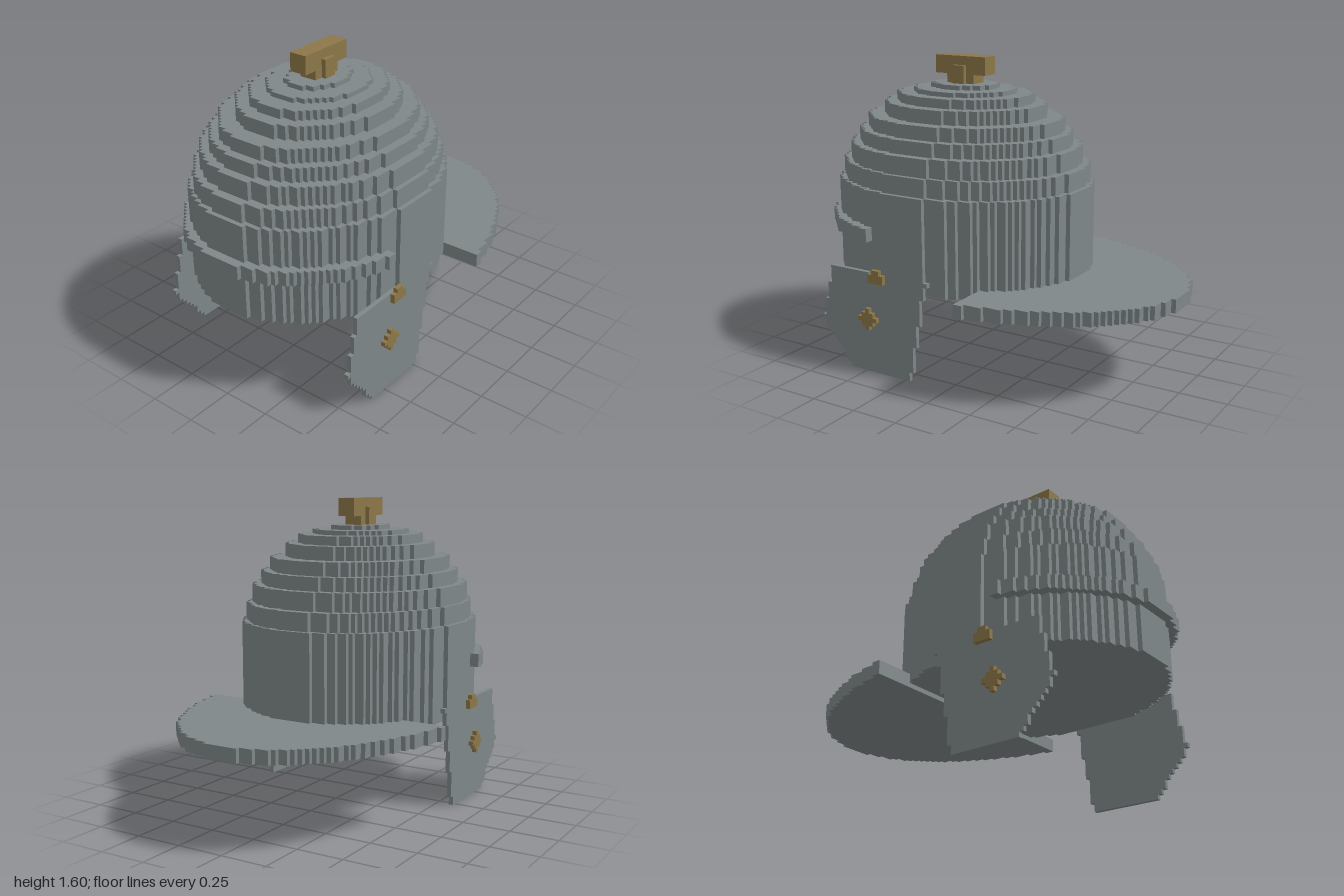
import * as THREE from 'three';

const S = 2 / 85;      // size of one block
const CZ = 53.5;       // dome centre in blocks, counted from the back

const steel = new THREE.MeshStandardMaterial({ color: 0x7f8789 });
steel.name = 'steel grey';
const brass = new THREE.MeshStandardMaterial({ color: 0x8c7748 });
brass.name = 'brass';

// Stepped outline from runs [rows, from, to], stacked upward from row "start".
function steppedShape(runs, start) {
  const up = [], down = [];
  let y = start;
  for (const [n, a, b] of runs) {
    up.push([b, y], [b, y + n]);
    down.unshift([a, y + n], [a, y]);
    y += n;
  }
  const pts = [...up, ...down].filter((p, i, all) => {
    const q = all[(i + 1) % all.length];
    return p[0] !== q[0] || p[1] !== q[1];
  });
  return new THREE.Shape(pts.map(([u, v]) => new THREE.Vector2(u, v)));
}

// Extrude an outline whose u axis is z; the v axis and the depth axis are given.
function extrude(shape, depth, vAxis, depthAxis) {
  const geo = new THREE.ExtrudeGeometry(shape, { depth, bevelEnabled: false });
  return geo.applyMatrix4(new THREE.Matrix4().makeBasis(new THREE.Vector3(0, 0, 1), vAxis, depthAxis));
}

// Horizontal slab shaped like a blocky ellipse, clipped to zMin..zMax.
function ellipseSlab(rx, rz, y0, y1, zMin = -Infinity, zMax = Infinity) {
  const runs = [];
  let start = null;
  for (let i = -Math.floor(rx); i < Math.floor(rx); i++) {
    const t = (i + 0.5) / rx;
    const half = Math.round(rz * Math.sqrt(1 - t * t) - 0.5) + 0.5;
    const a = Math.max(CZ - half, zMin), b = Math.min(CZ + half, zMax);
    if (b <= a) continue;
    if (start === null) start = i;
    const last = runs[runs.length - 1];
    if (last && last[1] === a && last[2] === b) last[0]++;
    else runs.push([1, a, b]);
  }
  const geo = extrude(steppedShape(runs, start), y1 - y0, new THREE.Vector3(1, 0, 0), new THREE.Vector3(0, 1, 0));
  return geo.translate(0, y0, 0);
}

function box(x0, x1, y0, y1, z0, z1) {
  return new THREE.BoxGeometry(x1 - x0, y1 - y0, z1 - z0)
    .translate((x0 + x1) / 2, (y0 + y1) / 2, (z0 + z1) / 2);
}

export function createModel() {
  const model = new THREE.Group();
  model.name = 'helmet';
  const add = (name, geo, mat, parent = model) => {
    geo.scale(S, S, S).translate(0, 0, -1);
    const mesh = new THREE.Mesh(geo, mat);
    mesh.name = name;
    parent.add(mesh);
  };
  const group = (name) => {
    const g = new THREE.Group();
    g.name = name;
    model.add(g);
    return g;
  };

  // Dome: layers of [half width, half depth, top]
  const dome = group('dome');
  let y = 20;
  for (const [rx, rz, top] of [
    [25, 29.5, 41], [24, 28.5, 45], [23, 26.5, 49], [21, 24.5, 52], [19, 22.5, 55],
    [16, 18.5, 58], [13, 15.5, 60], [10, 11.5, 61], [6, 7.5, 62],
  ]) {
    add('domeLayer', ellipseSlab(rx, rz, y, top), steel, dome);
    y = top;
  }

  // Brow band across the front and neck guard at the back
  add('browBand', ellipseSlab(27, 31.5, 30, 33, 62), steel);
  add('neckGuard', ellipseSlab(31.5, 53.5, 19, 22, -Infinity, 37), steel);

  // Cheek guards with brass studs
  const cheekRuns = [
    [1, 52, 68], [1, 52, 69], [2, 51, 70], [1, 51, 71], [1, 51, 72], [1, 51, 73], [1, 51, 74],
    [2, 50, 75], [1, 50, 76], [2, 50, 75], [2, 49, 75], [4, 49, 74], [3, 48, 73], [1, 47, 73],
  ];
  const diamondRuns = [[1, 62, 63], [1, 61, 64], [1, 60, 65], [1, 61, 64], [1, 62, 63]];
  const studRuns = [[2, 58, 62], [1, 59, 61]];
  const plate = (runs, start, outerX) =>
    extrude(steppedShape(runs, start), 1, new THREE.Vector3(0, 1, 0), new THREE.Vector3(-1, 0, 0))
      .translate(outerX, 0, 0);
  for (const side of [1, -1]) {
    const cheek = group(side > 0 ? 'leftCheekGuard' : 'rightCheekGuard');
    const outer = (n) => (side > 0 ? n : 1 - n);
    add('cheekPlate', plate(cheekRuns, 0, outer(25)), steel, cheek);
    add('diamondStud', plate(diamondRuns, 10, outer(26)), brass, cheek);
    add('hingeStud', plate(studRuns, 21, outer(26)), brass, cheek);
  }

  // Crest holder on top
  const crest = group('crestHolder');
  add('crestStem', box(-2, 2, 62, 64, 50, 57), brass, crest);
  add('crestBar', box(-2, 2, 64, 68, 47, 60), brass, crest);
  add('crestSidePlates', box(-3, 3, 62, 66, 52, 55), brass, crest);

  return model;
}
